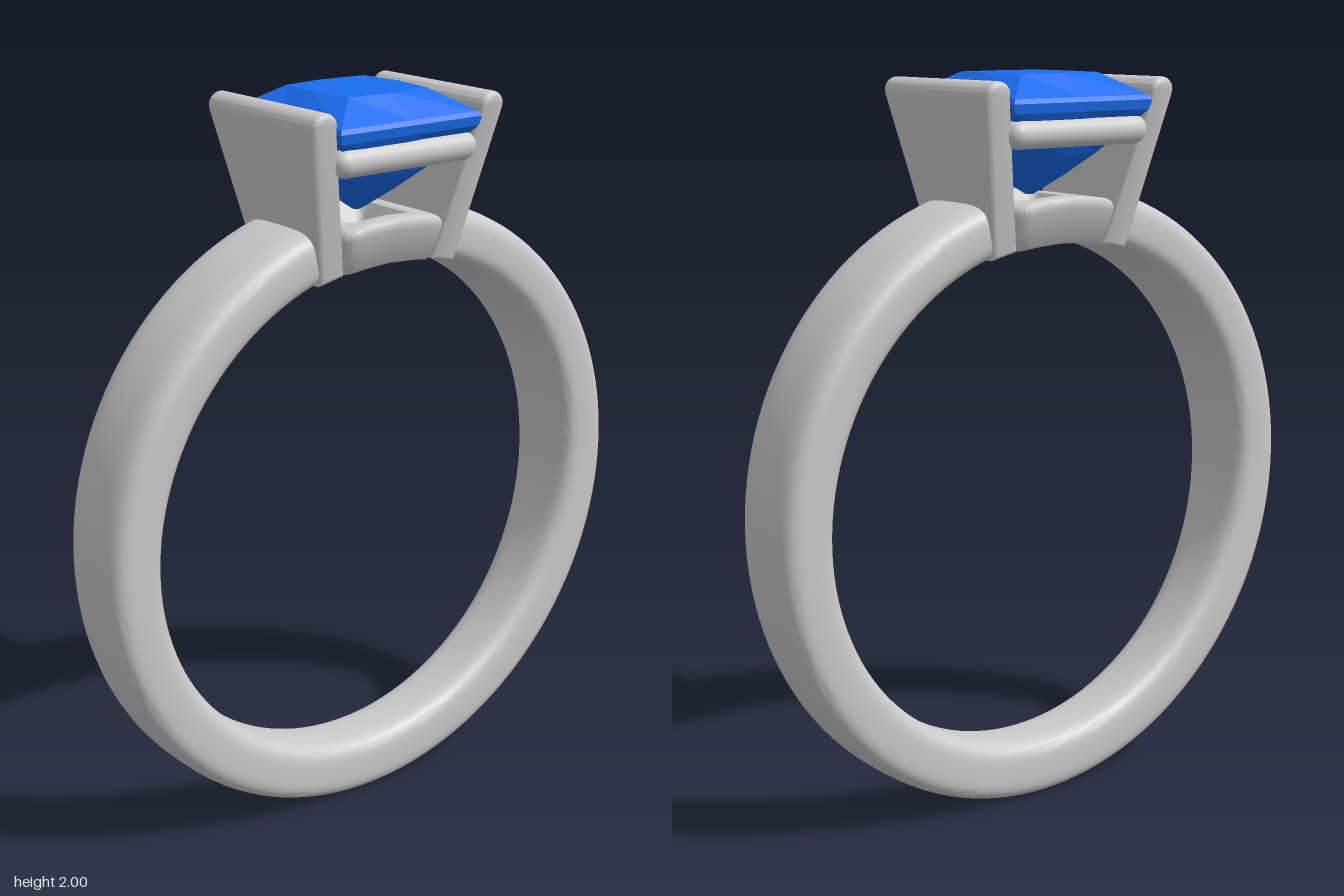
import * as THREE from 'three';
import { toCreasedNormals } from 'three/addons/utils/BufferGeometryUtils.js';

const metal = new THREE.MeshStandardMaterial({ color: 0xcccccc, side: THREE.DoubleSide });
const blue = new THREE.MeshStandardMaterial({ color: 0x1a6cf0, flatShading: true, side: THREE.DoubleSide });

// Skin rows of points (each row a closed loop); either join the last row to the first or cap both ends.
function loft(rows, joined) {
  const n = rows[0].length, index = [];
  const points = rows.flat();
  const count = joined ? rows.length : rows.length - 1;
  for (let i = 0; i < count; i++) {
    const a = i * n, b = ((i + 1) % rows.length) * n;
    for (let j = 0; j < n; j++) {
      const k = (j + 1) % n;
      index.push(a + j, a + k, b + j, a + k, b + k, b + j);
    }
  }
  if (!joined) {
    const last = (rows.length - 1) * n;
    for (let j = 1; j < n - 1; j++) index.push(0, j + 1, j, last, last + j, last + j + 1);
  }
  const g = new THREE.BufferGeometry();
  g.setAttribute('position', new THREE.Float32BufferAttribute(points.flat(), 3));
  g.setIndex(index);
  g.computeVertexNormals();
  return g;
}

// Point on a rounded rectangle (superellipse) of half size 1
function rounded(t, power) {
  const c = Math.cos(t), s = Math.sin(t);
  return [Math.sign(c) * Math.abs(c) ** (2 / power), Math.sign(s) * Math.abs(s) ** (2 / power)];
}

// Band: rounded section that widens towards the top, open where the setting sits
function shankGeometry() {
  const rows = [], gap = 0.25, steps = 120, sides = 40;
  for (let i = 0; i <= steps; i++) {
    const a = gap + (i / steps) * (2 * Math.PI - 2 * gap);
    const row = [];
    for (let j = 0; j < sides; j++) {
      const [r, w] = rounded((j / sides) * Math.PI * 2, 3.8);
      const radius = 0.775 + 0.08 * r;
      const y = 0.861 - 0.003 * r + radius * Math.cos(a);
      const half = 0.09 + 0.055 * THREE.MathUtils.clamp(y / 1.68, 0, 1);
      row.push([radius * Math.sin(a), y, w * half]);
    }
    rows.push(row);
  }
  return toCreasedNormals(loft(rows, false), 0.9);
}

// Side plate: leaning bar with a round top, tapering in depth towards the band
function plateGeometry() {
  const s = new THREE.Shape();
  s.moveTo(0.15, 1.548);
  s.lineTo(0.225, 1.53);
  s.lineTo(0.31, 1.945);
  s.absarc(0.272, 1.95, 0.038, -0.1, Math.PI + 0.15, false);
  s.closePath();
  const bevel = 0.014;
  const g = new THREE.ExtrudeGeometry(s, {
    depth: 0.46 - 2 * bevel, curveSegments: 16,
    bevelThickness: bevel, bevelSize: bevel, bevelOffset: -bevel, bevelSegments: 4
  });
  g.translate(0, 0, -0.23 + bevel);
  const p = g.attributes.position;
  for (let i = 0; i < p.count; i++) {
    const half = 0.23 - 0.214 * Math.max(0, 1.965 - p.getY(i));
    p.setZ(i, p.getZ(i) * half / 0.23);
  }
  return toCreasedNormals(g, 0.6);
}

// Gallery: bent rectangular frame under the stone with a flared opening
function galleryGeometry() {
  const profile = [ // half x, half z, height
    [0.05, 0.05, 1.565], [0.056, 0.056, 1.56], [0.145, 0.137, 1.56], [0.153, 0.144, 1.567],
    [0.166, 0.177, 1.655], [0.166, 0.18, 1.67], [0.16, 0.176, 1.68], [0.15, 0.166, 1.685],
    [0.112, 0.125, 1.685], [0.1, 0.112, 1.678]
  ];
  const sides = 64;
  const rows = profile.map(([hx, hz, y]) => Array.from({ length: sides }, (_, j) => {
    const [u, v] = rounded(-(j / sides) * Math.PI * 2, 9);
    const x = u * hx;
    return [x, y - x * x / 1.4, v * hz];
  }));
  return toCreasedNormals(loft(rows, true), 0.7);
}

// Square stone: each level is a square whose side middles may bow in or out
function stoneGeometry() {
  const levels = [ // corner, side middle, height
    [0.008, 0.008, 1.68], [0.07, 0.085, 1.735], [0.125, 0.148, 1.79], [0.178, 0.19, 1.85],
    [0.224, 0.224, 1.905], [0.23, 0.23, 1.93], [0.222, 0.222, 1.942], [0.128, 0.142, 2.0]
  ];
  const rows = levels.map(([c, m, y]) => [
    [c, y, c], [m, y, 0], [c, y, -c], [0, y, -m], [-c, y, -c], [-m, y, 0], [-c, y, c], [0, y, m]
  ]);
  return loft(rows, false).toNonIndexed();
}

export function createModel() {
  const ring = new THREE.Group();
  ring.name = 'ring';
  const add = (name, geometry, material = metal) => {
    const mesh = new THREE.Mesh(geometry, material);
    mesh.name = name;
    ring.add(mesh);
    return mesh;
  };

  add('shank', shankGeometry());
  add('gallery', galleryGeometry());
  add('stone', stoneGeometry(), blue);

  // Mirrored side plates
  const plate = plateGeometry();
  add('leftPlate', plate);
  add('rightPlate', plate).rotation.y = Math.PI;

  // Rails in front of and behind the stone
  const rail = new THREE.CapsuleGeometry(0.038, 0.385, 10, 24);
  rail.rotateZ(Math.PI / 2);
  add('frontRail', rail).position.set(0, 1.853, 0.194);
  add('backRail', rail).position.set(0, 1.853, -0.194);

  return ring;
}
